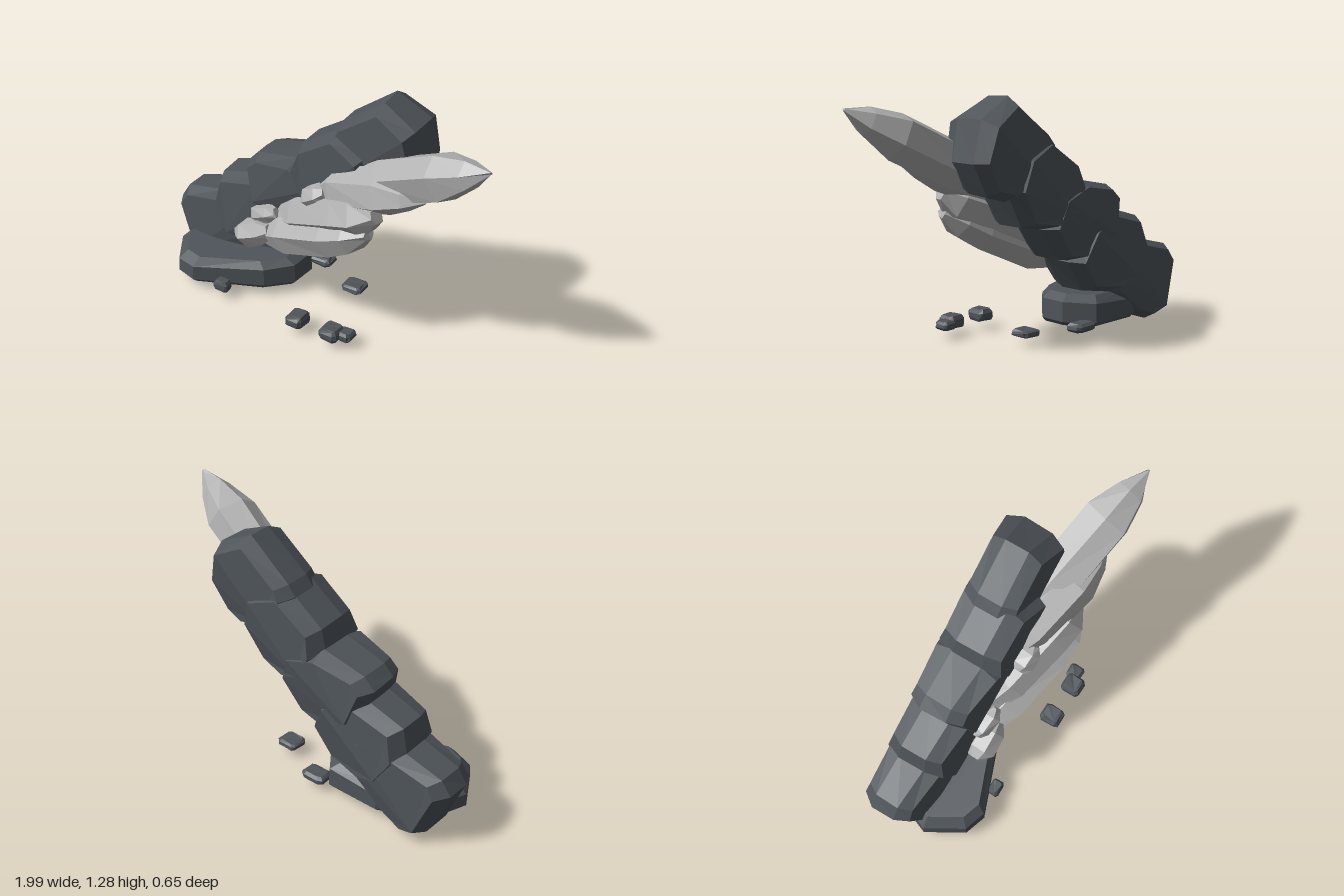
import * as THREE from 'three';

// Small seeded generator for irregular stone shapes
let seed = 7;
const rand = () => ((seed = (seed * 16807) % 2147483647) / 2147483647) * 2 - 1;

const stone = new THREE.MeshStandardMaterial({ name: 'darkStone', color: 0x4e5459, flatShading: true });
const crystal = new THREE.MeshStandardMaterial({ name: 'paleCrystal', color: 0xb2b2b2, flatShading: true });

// Lofts a section of [u, v] points from p to q.
// Each ring is [fraction along axis, scale, shift in u, shear along the axis].
function loft(name, material, p, q, section, rings, jitter = 0) {
  const start = new THREE.Vector3(...p), end = new THREE.Vector3(...q);
  const axis = end.clone().sub(start), d = axis.clone().normalize();
  const side = Math.abs(d.z) > 0.9 ? new THREE.Vector3(0, 1, 0) : new THREE.Vector3(0, 0, 1);
  const v = side.addScaledVector(d, -side.dot(d)).normalize();
  const u = v.clone().cross(d);
  const area = THREE.ShapeUtils.area(section.map(([a, b]) => new THREE.Vector2(a, b)));
  const outline = area < 0 ? [section[0], ...section.slice(1).reverse()] : section;
  const n = outline.length, last = rings.length - 1;
  const pos = [], index = [];
  for (const [t, s, shift = 0, shear = 0] of rings) {
    for (const [a, b] of outline) {
      const pt = start.clone().addScaledVector(axis, t)
        .addScaledVector(u, a * s + shift + rand() * jitter)
        .addScaledVector(v, b * s + rand() * jitter)
        .addScaledVector(d, a * shear + rand() * jitter);
      pos.push(pt.x, pt.y, pt.z);
    }
  }
  for (let r = 0; r < last; r++) {
    for (let i = 0; i < n; i++) {
      const a = r * n + i, b = r * n + (i + 1) % n;
      index.push(a, b, b + n, a, b + n, a + n);
    }
  }
  for (let i = 1; i < n - 1; i++) {
    index.push(0, i + 1, i, last * n, last * n + i, last * n + i + 1);
  }
  const geo = new THREE.BufferGeometry();
  geo.setAttribute('position', new THREE.Float32BufferAttribute(pos, 3));
  geo.setIndex(index);
  const flat = geo.toNonIndexed();
  flat.computeVertexNormals();
  const mesh = new THREE.Mesh(flat, material);
  mesh.name = name;
  return mesh;
}

// Thins a boulder towards its upper and lower long edges
function thinEdges(mesh, cx, cy, cz) {
  const pos = mesh.geometry.attributes.position;
  for (let i = 0; i < pos.count; i++) {
    const k = (0.81 * (pos.getY(i) - cy) - 0.59 * (pos.getX(i) - cx)) / 0.22;
    pos.setZ(i, cz + (pos.getZ(i) - cz) * (1 - 0.22 * Math.min(1, k * k)));
  }
  mesh.geometry.computeVertexNormals();
  return mesh;
}

const ngon = (n, ru, rv, turn = 0) => Array.from({ length: n }, (_, i) => {
  const a = turn + (i / n) * Math.PI * 2;
  return [Math.cos(a) * ru, Math.sin(a) * rv];
});

export function createModel() {
  seed = 7;
  const model = new THREE.Group();
  model.name = 'leaningRockCluster';

  // Five stepped boulders: front outline in [x, y], back z and front z
  const boulders = new THREE.Group();
  boulders.name = 'boulders';
  [
    [[[-0.88, 0.04], [-1, 0.32], [-0.95, 0.4], [-0.7, 0.46], [-0.45, 0.47], [-0.36, 0.35],
      [-0.45, 0.2], [-0.65, 0.05], [-0.78, 0.005]], -0.31, 0.035],
    [[[-0.64, 0.25], [-0.74, 0.42], [-0.7, 0.58], [-0.4, 0.67], [-0.24, 0.57], [-0.16, 0.4],
      [-0.28, 0.23], [-0.5, 0.2]], -0.32, 0.055],
    [[[-0.46, 0.52], [-0.52, 0.72], [-0.46, 0.78], [-0.2, 0.83], [-0.01, 0.76], [0.05, 0.6],
      [-0.08, 0.42], [-0.3, 0.39]], -0.325, 0.06],
    [[[-0.14, 0.64], [-0.22, 0.8], [-0.18, 0.93], [0.05, 1.08], [0.24, 1], [0.29, 0.82],
      [0.17, 0.62], [0, 0.59]], -0.325, 0.07],
    [[[0.1, 0.84], [-0.01, 1.04], [0.03, 1.1], [0.28, 1.28], [0.47, 1.18], [0.52, 0.97],
      [0.42, 0.8], [0.3, 0.77]], -0.315, 0.02],
  ].forEach(([outline, back, front], i) => {
    const [cx, cy] = [0, 1].map((k) => outline.reduce((sum, pt) => sum + pt[k], 0) / outline.length);
    const boulder = loft('boulder' + (i + 1), stone, [cx, cy, back], [cx, cy, front],
      outline.map(([x, y]) => [x - cx, y - cy]),
      [[0, 0.84], [0.25, 1], [0.74, 0.98], [1, 0.84]], 0.004);
    boulders.add(thinEdges(boulder, cx, cy, (back + front) / 2));
  });
  model.add(boulders);

  // Flat base slab; its section is given as [-x, z] about the slab centre
  const plan = [[-0.92, 0.05], [-0.80, 0.24], [-0.68, 0.275], [-0.32, 0.12], [-0.2, 0],
    [-0.19, -0.15], [-0.3, -0.29], [-0.6, -0.28], [-0.86, -0.12]];
  model.add(loft('baseSlab', stone, [-0.56, 0.05, 0], [-0.56, 0.2, 0],
    plan.map(([x, z]) => [-(x + 0.56), z]),
    [[0, 0.94], [0.12, 1, 0, -0.01], [0.7, 0.99, 0, -0.06], [1, 0.84, 0, -0.03]]));

  // Long pointed crystals in front: base, tip, radius, bulge upward, bluntness of the tip
  const crystals = new THREE.Group();
  crystals.name = 'crystals';
  [
    [[-0.36, 0.36, 0.04], [0.36, 0.68, 0.17], 0.118, 0, 0.28],
    [[-0.28, 0.5, 0], [0.39, 0.79, 0.15], 0.118, 0, 0.35],
    [[-0.05, 0.69, -0.01], [0.66, 0.96, 0.15], 0.12, 0.045, 0.02],
    [[0.15, 0.82, -0.02], [0.99, 1.24, 0.155], 0.126, -0.008, 0.02],
  ].forEach(([p, q, r, up, tip], i) => {
    crystals.add(loft('crystal' + (i + 1), crystal, p, q, ngon(6, r, r * 1.1, 0.25 + i * 0.3), [
      [0, 0.45], [0.25, 0.97, up], [0.68, 1, up], [0.86, 0.58 + tip, up * 0.5], [1, tip],
    ], 0.006));
  });
  model.add(crystals);

  // Small blunt crystal chips
  [
    [[-0.49, 0.34, 0.1], [-0.28, 0.43, 0.1], 0.08],
    [[-0.42, 0.46, 0.06], [-0.26, 0.54, 0.08], 0.055],
    [[-0.07, 0.7, 0.09], [0.06, 0.78, 0.1], 0.065],
  ].forEach(([p, q, r], i) => {
    model.add(loft('crystalChip' + (i + 1), crystal, p, q, ngon(6, r, r, 0.5),
      [[0, 0.5], [0.25, 1], [0.75, 0.95], [1, 0.5]], 0.005));
  });

  // Loose pebbles: x, z, half width, half depth, height
  [
    [-0.51, 0.235, 0.042, 0.032, 0.055], [-0.2, -0.27, 0.07, 0.05, 0.04],
    [-0.005, 0.27, 0.05, 0.056, 0.06], [0.085, -0.15, 0.06, 0.055, 0.035],
    [0.205, 0.27, 0.052, 0.056, 0.06], [0.275, 0.24, 0.042, 0.042, 0.045],
  ].forEach(([x, z, w, dep, h], i) => {
    const square = [[w, 0.7 * dep], [0.7 * w, dep], [-0.7 * w, dep], [-w, 0.7 * dep],
      [-w, -0.7 * dep], [-0.7 * w, -dep], [0.7 * w, -dep], [w, -0.7 * dep]];
    model.add(loft('pebble' + (i + 1), stone, [x, 0.05, z], [x, 0.05 + h, z], square,
      [[0, 0.88], [0.25, 1], [0.7, 0.98], [1, 0.75]], 0.003));
  });

  return model;
}
